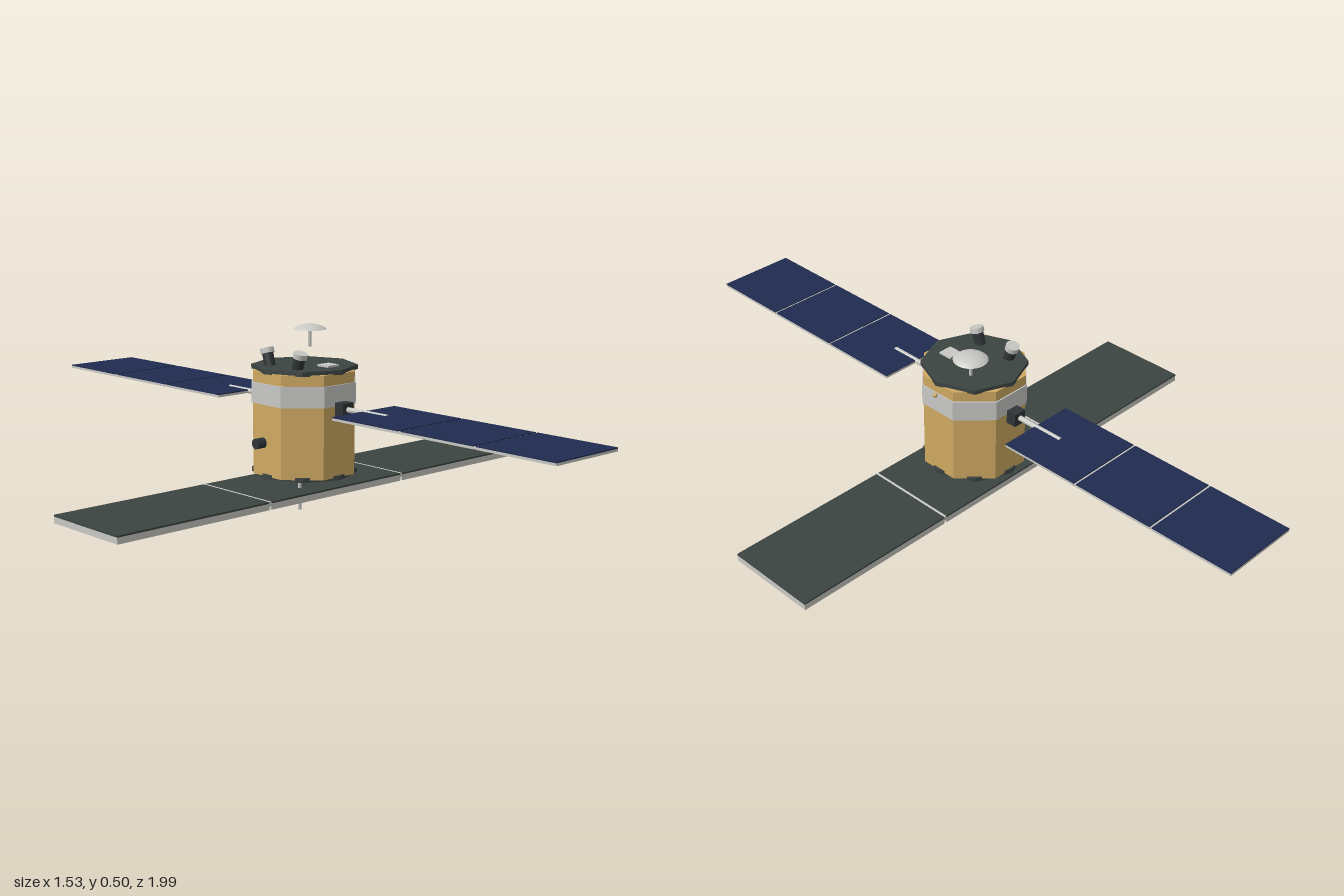
import * as THREE from 'three';

const mat = (name, color, extra = {}) => {
  const m = new THREE.MeshStandardMaterial({ color, ...extra });
  m.name = name;
  return m;
};

export function createModel() {
  const model = new THREE.Group();
  model.name = 'satellite';
  const gold = mat('gold foil', 0xcfa962, { flatShading: true });
  const silver = mat('silver', 0xc8c8c6, { flatShading: true });
  const white = mat('light grey', 0xc8c8c4, { side: THREE.DoubleSide });
  const dark = mat('dark grey', 0x3c4442, { flatShading: true });
  const black = mat('charcoal', 0x303436);
  const blue = mat('solar blue', 0x202b4f);

  const add = (parent, name, geo, material, x = 0, y = 0, z = 0) => {
    const mesh = new THREE.Mesh(geo, material);
    mesh.name = name;
    mesh.position.set(x, y, z);
    parent.add(mesh);
    return mesh;
  };
  const box = (w, h, d) => new THREE.BoxGeometry(w, h, d);
  const cyl = (r, h, n = 16) => new THREE.CylinderGeometry(r, r, h, n);
  const prism = (r, h, turn) => cyl(r, h, 8).rotateY(turn);

  // Octagonal bus with its band, and end decks turned by half a side
  add(model, 'body', prism(0.155, 0.296, Math.PI / 8), gold, 0, 0.238, 0);
  add(model, 'band', prism(0.159, 0.06, Math.PI / 8), silver, 0, 0.325, 0);
  add(model, 'topDeck', prism(0.152, 0.013, 0), dark, 0, 0.39, 0);
  add(model, 'bottomDeck', prism(0.152, 0.013, 0), dark, 0, 0.09, 0);
  add(model, 'antennaMount', box(0.044, 0.03, 0.04), white, 0, 0.071, 0);

  // Radar antenna: three long panels joined by hinge rods
  for (const i of [-1, 0, 1]) {
    const panel = new THREE.Group();
    panel.name = 'radarPanel';
    panel.position.x = i * 0.512;
    add(panel, 'radarPanelBody', box(0.504, 0.018, 0.282), white, 0, 0.048, 0);
    add(panel, 'radarPanelTop', box(0.504, 0.005, 0.282), dark, 0, 0.0595, 0);
    model.add(panel);
    if (i) add(model, 'radarHinge', cyl(0.007, 0.282, 10).rotateX(Math.PI / 2), white, i * 0.256, 0.056, 0);
  }

  // Solar wings, mirrored front and back
  for (const s of [1, -1]) {
    const wing = new THREE.Group();
    wing.name = s > 0 ? 'frontSolarWing' : 'backSolarWing';
    wing.position.y = 0.287;
    add(wing, 'wingDrive', box(0.04, 0.04, 0.032), black, 0, 0, s * 0.163);
    add(wing, 'wingBoom', cyl(0.008, 0.18, 12).rotateX(Math.PI / 2), white, 0, 0.001, s * 0.24);
    for (let i = 0; i < 3; i++) {
      const z = s * (0.3635 + i * 0.2545);
      add(wing, 'solarPanelBody', box(0.242, 0.007, 0.247), white, 0, -0.001, z);
      add(wing, 'solarCells', box(0.242, 0.003, 0.247), blue, 0, 0.004, z);
      if (i) add(wing, 'solarHinge', cyl(0.004, 0.242, 8).rotateZ(Math.PI / 2), white, 0, 0.0005, z - s * 0.127);
    }
    model.add(wing);

    // Star tracker leaning outwards
    const tracker = new THREE.Group();
    tracker.name = 'starTracker';
    tracker.position.set(-0.08, 0.395, s * 0.057);
    tracker.rotation.x = s * 0.3;
    add(tracker, 'trackerBase', cyl(0.016, 0.04), black, 0, 0.016, 0);
    add(tracker, 'trackerCap', cyl(0.02, 0.015), white, 0, 0.043, 0);
    model.add(tracker);
  }

  // Domed dish on its short stalk
  const cap = [[0.049, 0], [0.042, 0.006], [0.03, 0.011], [0.016, 0.0145], [0.0001, 0.016]];
  const dish = new THREE.LatheGeometry(cap.map(([r, y]) => new THREE.Vector2(r, y)), 24);
  add(model, 'dish', dish, white, 0.095, 0.481, -0.08);
  add(model, 'dishStalk', cyl(0.005, 0.062, 10), white, 0.095, 0.461, -0.08);

  // Small fittings
  add(model, 'deckPlate', box(0.043, 0.008, 0.043), white, 0.022, 0.398, 0.075);
  add(model, 'sideSensor', cyl(0.015, 0.029).rotateZ(Math.PI / 2), black, -0.172, 0.19, 0);
  add(model, 'sideNozzle', new THREE.SphereGeometry(0.007, 12, 8), gold, 0.155, 0.354, 0);
  add(model, 'lowerAntenna', cyl(0.005, 0.086, 10), white, -0.089, 0.043, 0.076);
  return model;
}
